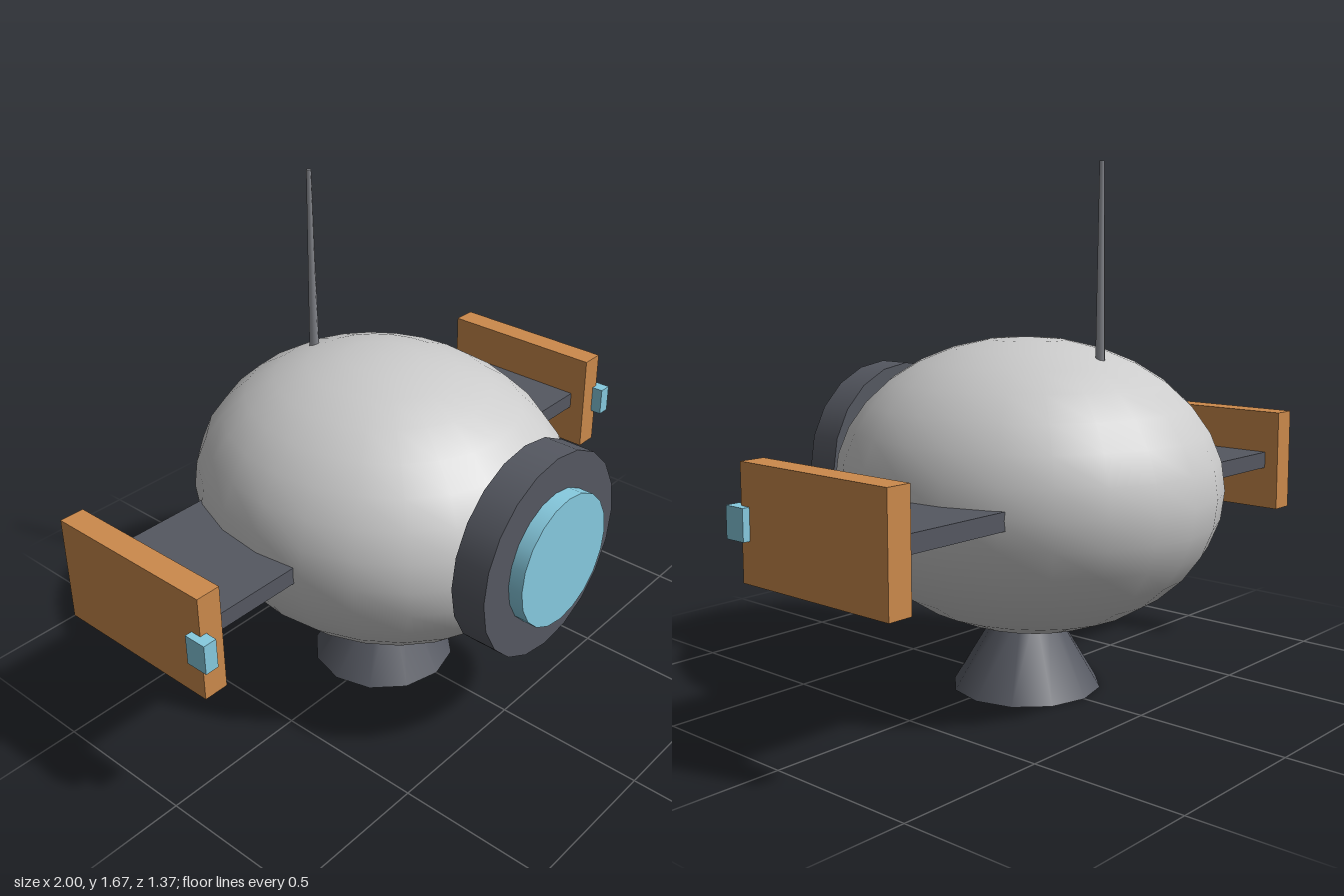
import * as THREE from 'three';

const mat = (color) => new THREE.MeshStandardMaterial({ color });

export function createModel() {
  const model = new THREE.Group();
  model.name = 'pod';
  const shell = mat(0xcccccc);
  const dark = mat(0x555861);
  const orange = mat(0xcc8a4c);
  const blue = mat(0x87cbe0);
  const metal = mat(0x85878d);

  const add = (name, geometry, material, x, y, z) => {
    const mesh = new THREE.Mesh(geometry, material);
    mesh.name = name;
    mesh.position.set(x, y, z);
    model.add(mesh);
    return mesh;
  };

  // Egg-shaped hull
  add('body', new THREE.SphereGeometry(1, 24, 16).scale(0.583, 0.47, 0.65), shell, 0, 0.67, -0.035);

  // Round eye on the nose: dark rim and raised lens
  const disc = (r, depth) => new THREE.CylinderGeometry(r, r, depth, 20).rotateX(Math.PI / 2);
  add('eyeRim', disc(0.335, 0.117), dark, 0, 0.688, 0.578);
  add('eyeLens', disc(0.217, 0.117), blue, 0, 0.688, 0.626);

  // Flared foot, its narrow end sunk into the hull
  add('foot', new THREE.CylinderGeometry(0.09, 0.243, 0.255, 12), dark, 0, 0.1275, -0.035);

  // Tapered antenna
  add('antenna', new THREE.CylinderGeometry(0.008, 0.017, 0.65, 6), metal, 0, 1.35, -0.33);

  // Wing, end plate and lamp on each side
  for (const [side, s] of [['left', 1], ['right', -1]]) {
    add(side + 'Wing', new THREE.BoxGeometry(0.5, 0.056, 0.485), dark, s * 0.66, 0.668, -0.137);
    add(side + 'EndPlate', new THREE.BoxGeometry(0.08, 0.345, 0.59), orange, s * 0.937, 0.668, -0.135);
    add(side + 'Lamp', new THREE.BoxGeometry(0.045, 0.096, 0.075), blue, s * 0.9775, 0.668, 0.162);
  }
  return model;
}
